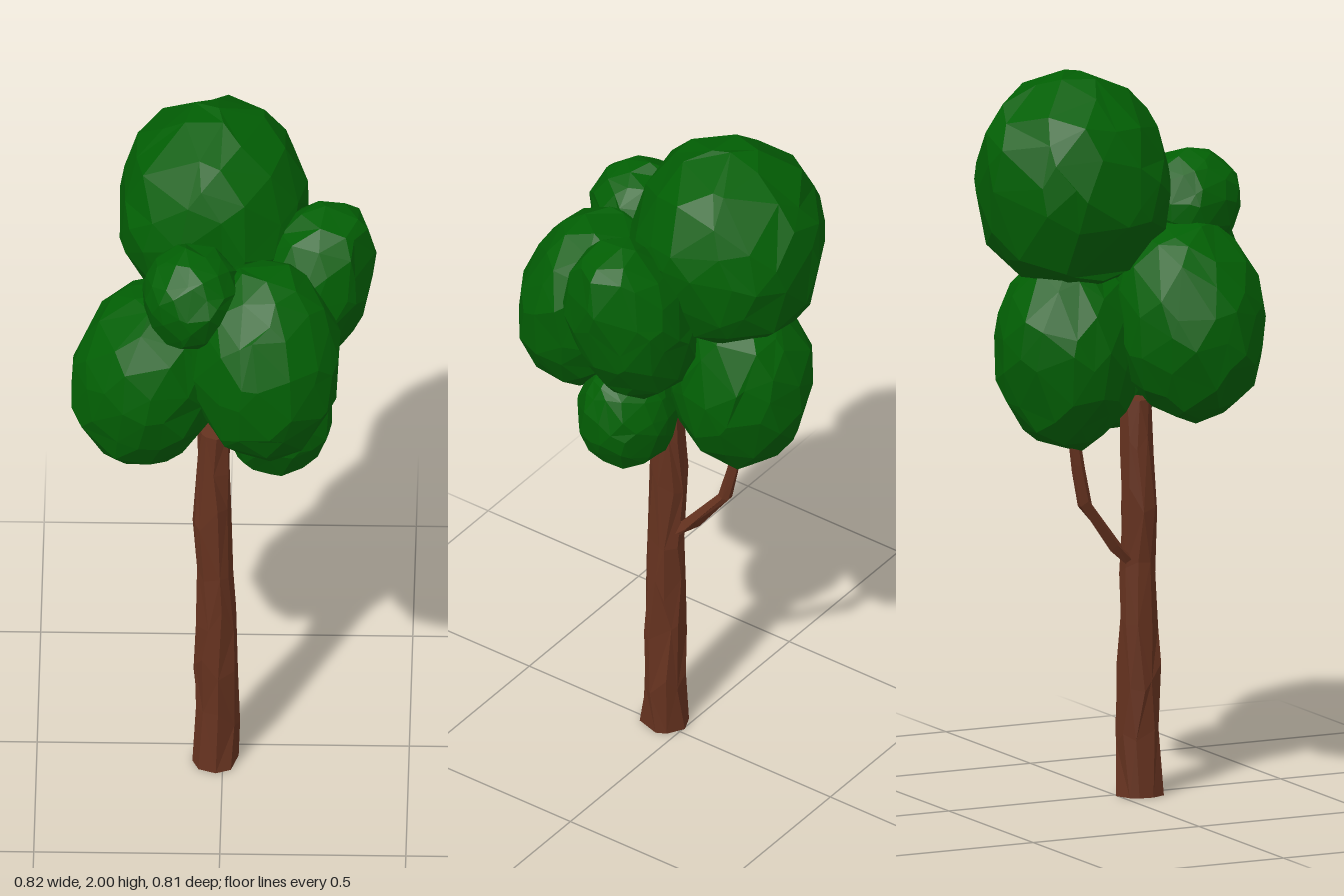
import * as THREE from 'three';
import { mergeVertices } from 'three/addons/utils/BufferGeometryUtils.js';

const leafGreen = new THREE.MeshStandardMaterial({ color: 0x025f04 });
const barkBrown = new THREE.MeshStandardMaterial({ color: 0x65321f });

// Small seeded generator returning -1..1
function seeded(seed) {
  let s = seed;
  return () => {
    s = (s * 16807) % 2147483647;
    return (s / 2147483647) * 2 - 1;
  };
}

// Give every triangle its own normal for the faceted look
function facet(geometry) {
  const flat = geometry.toNonIndexed();
  flat.computeVertexNormals();
  return flat;
}

// Irregular faceted leaf ball, tilted about x and z
function leafBall([x, y, z], [rx, ry, rz], [tiltX, tiltZ], seed) {
  const rand = seeded(seed * 7919 + 13);
  let g = new THREE.IcosahedronGeometry(1, 2);
  g.deleteAttribute('normal');
  g.deleteAttribute('uv');
  g = mergeVertices(g, 1e-3);
  const p = g.attributes.position;
  const v = new THREE.Vector3();
  for (let i = 0; i < p.count; i++) {
    v.fromBufferAttribute(p, i);
    v.x += rand() * 0.15;
    v.y += rand() * 0.15;
    v.z += rand() * 0.15;
    v.normalize().multiplyScalar(1.005 + rand() * 0.03);
    p.setXYZ(i, v.x * rx, v.y * ry, v.z * rz);
  }
  const mesh = new THREE.Mesh(facet(g), leafGreen);
  mesh.position.set(x, y, z);
  mesh.rotation.set(tiltX, 0, tiltZ);
  return mesh;
}

// Tapered limb: rings [x, y, z, radius] joined with faceted walls and capped ends
function limb(rings, sides, rough, seed) {
  const rand = seeded(seed);
  const pos = [], idx = [];
  rings.forEach(([x, y, z, r], j) => {
    const inner = j > 0 && j < rings.length - 1;
    for (let i = 0; i < sides; i++) {
      const a = ((i + rand() * rough) / sides) * Math.PI * 2;
      const k = r * (1 + rand() * rough * 0.3);
      pos.push(x + Math.cos(a) * k, y + (inner ? rand() * rough * 0.15 : 0), z + Math.sin(a) * k);
    }
  });
  for (let j = 0; j < rings.length - 1; j++) {
    for (let i = 0; i < sides; i++) {
      const a = j * sides + i, b = j * sides + (i + 1) % sides;
      const c = a + sides, d = b + sides;
      if ((i + j) % 2) idx.push(a, c, b, b, c, d);
      else idx.push(a, c, d, a, d, b);
    }
  }
  const last = (rings.length - 1) * sides;
  for (let i = 1; i < sides - 1; i++) {
    idx.push(0, i, i + 1);
    idx.push(last, last + i + 1, last + i);
  }
  const g = new THREE.BufferGeometry();
  g.setAttribute('position', new THREE.Float32BufferAttribute(pos, 3));
  g.setIndex(idx);
  return new THREE.Mesh(facet(g), barkBrown);
}

export function createModel() {
  const tree = new THREE.Group();
  tree.name = 'tree';

  // Trunk, slightly crooked, ending just under the leaves
  const trunk = limb([
    [-0.02, 0, 0.063, 0.065],
    [-0.018, 0.16, 0.06, 0.062],
    [-0.02, 0.32, 0.062, 0.058],
    [-0.018, 0.48, 0.06, 0.054],
    [-0.018, 0.64, 0.058, 0.051],
    [-0.03, 0.82, 0.058, 0.05],
    [-0.024, 0.96, 0.058, 0.045],
    [-0.02, 1.085, 0.056, 0.042],
  ], 9, 0.3, 41);
  trunk.name = 'trunk';
  tree.add(trunk);

  // Side branch bending up at the back
  const branch = limb([
    [-0.025, 0.63, 0.045, 0.026],
    [-0.03, 0.69, -0.015, 0.023],
    [-0.05, 0.82, -0.115, 0.019],
    [-0.056, 0.92, -0.138, 0.017],
    [-0.06, 1.05, -0.16, 0.015],
  ], 6, 0.1, 77);
  branch.name = 'branch';
  tree.add(branch);

  // Foliage: name, centre, radii, tilt
  const foliage = new THREE.Group();
  foliage.name = 'foliage';
  [
    ['crownLeaves', [-0.03, 1.692, -0.143], [0.262, 0.305, 0.268], [-0.1, 0]],
    ['rightLeaves', [-0.2, 1.325, 0.12], [0.205, 0.28, 0.21], [0, -0.25]],
    ['frontLeaves', [0.115, 1.44, 0.212], [0.205, 0.283, 0.19], [-0.26, 0]],
    ['leftLeaves', [0.222, 1.52, 0], [0.168, 0.288, 0.178], [0, -0.35]],
    ['smallFrontLeaves', [-0.08, 1.625, 0.185], [0.135, 0.147, 0.144], [0, 0]],
    ['lowerLeftLeaves', [0.15, 1.14, 0.065], [0.145, 0.17, 0.133], [0, -0.2]],
    ['backLeaves', [-0.05, 1.24, -0.165], [0.198, 0.275, 0.2], [0, 0]],
  ].forEach(([name, centre, radii, tilt], i) => {
    const ball = leafBall(centre, radii, tilt, i + 1);
    ball.name = name;
    foliage.add(ball);
  });
  tree.add(foliage);

  return tree;
}
